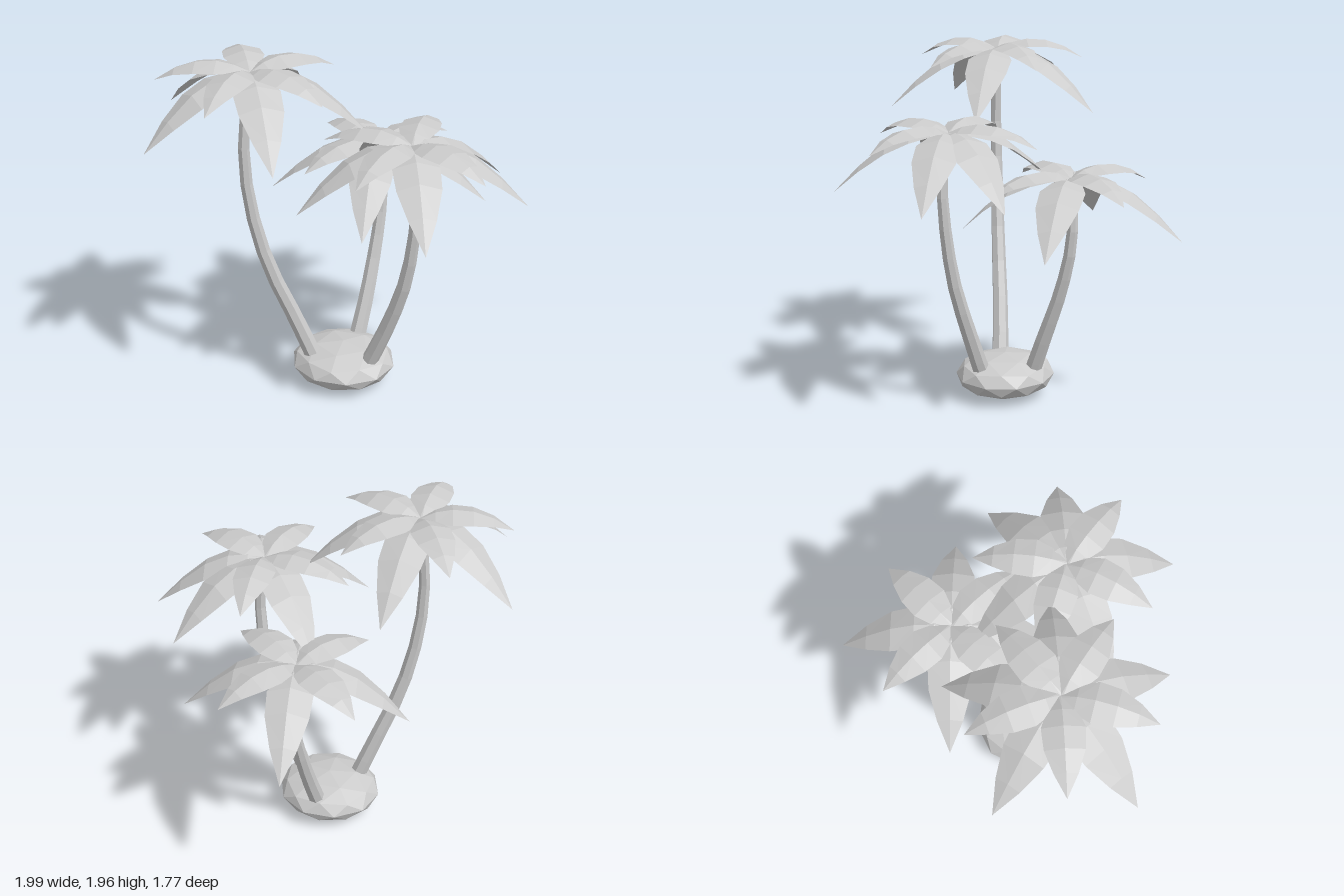
import * as THREE from 'three';

const mat = new THREE.MeshStandardMaterial({ color: 0xcccccc, flatShading: true, side: THREE.DoubleSide });

function add(parent, geometry, name) {
  const mesh = new THREE.Mesh(geometry, mat);
  mesh.name = name;
  parent.add(mesh);
  return mesh;
}

// Frond pointing along +x; each station is [reach, height, half width, edge droop]
function frondGeometry(stations) {
  const pos = [], index = [];
  stations.forEach(([r, y, w, d], i) => {
    pos.push(r, y - d, -w, r, y, 0, r, y - d, w);
    if (i === 0) return;
    for (let k = 0; k < 2; k++) {
      const a = (i - 1) * 3 + k, b = a + 3;
      index.push(a, a + 1, b, a + 1, b + 1, b);
    }
  });
  const g = new THREE.BufferGeometry();
  g.setAttribute('position', new THREE.Float32BufferAttribute(pos, 3));
  g.setIndex(index);
  g.computeVertexNormals();
  return g;
}

const longFrond = frondGeometry([
  [0, -0.01, 0.012, 0], [0.09, 0.015, 0.08, 0.025], [0.2, 0, 0.122, 0.035],
  [0.33, -0.06, 0.115, 0.035], [0.47, -0.175, 0.07, 0.02], [0.61, -0.32, 0, 0],
]);
const shortFrond = frondGeometry([
  [0, 0, 0.012, 0], [0.08, 0.037, 0.075, 0.025], [0.17, 0.056, 0.108, 0.033],
  [0.28, 0.048, 0.1, 0.03], [0.39, 0.01, 0.06, 0.017], [0.5, -0.06, 0, 0],
]);

// Tube along a smooth path, tapered toward the top
function trunkGeometry(points, sides = 7, steps = 9) {
  const curve = new THREE.CatmullRomCurve3(points.map((p) => new THREE.Vector3(...p)));
  const g = new THREE.TubeGeometry(curve, steps, 1, sides);
  const p = g.attributes.position, v = new THREE.Vector3();
  for (let i = 0; i < p.count; i++) {
    const t = Math.floor(i / (sides + 1)) / steps;
    const c = curve.getPointAt(t);
    v.fromBufferAttribute(p, i).sub(c).multiplyScalar(0.049 - 0.023 * t).add(c);
    p.setXYZ(i, v.x, v.y, v.z);
  }
  g.computeVertexNormals();
  return g;
}

// Trunk path, frond count and heading of the first frond in degrees
const palms = [
  {
    name: 'tallPalm', count: 10, start: 61, crown: [-0.44, 1.9, 0.345],
    path: [[-0.13, 0.1, 0.21], [-0.24, 0.4, 0.25], [-0.385, 0.8, 0.32], [-0.465, 1.2, 0.36], [-0.478, 1.55, 0.368], [-0.44, 1.89, 0.345]],
  },
  {
    name: 'middlePalm', count: 9, start: -11, crown: [0.4, 1.565, 0.285],
    path: [[0.125, 0.1, 0.195], [0.255, 0.4, 0.23], [0.375, 0.75, 0.275], [0.43, 1.1, 0.3], [0.435, 1.35, 0.305], [0.4, 1.555, 0.285]],
  },
  {
    name: 'shortPalm', count: 8, start: 83, crown: [0.075, 1.3, -0.285],
    path: [[0.01, 0.1, -0.02], [0.05, 0.38, -0.125], [0.075, 0.65, -0.225], [0.093, 0.9, -0.29], [0.095, 1.1, -0.305], [0.075, 1.29, -0.285]],
  },
];

export function createModel() {
  const model = new THREE.Group();
  model.name = 'palmTrees';

  // Flattened faceted rock with a corner pointing straight up
  const rock = new THREE.IcosahedronGeometry(1, 1);
  rock.rotateX(-Math.atan2((1 + Math.sqrt(5)) / 2, 1));
  rock.scale(0.294, 0.122, 0.275);
  add(model, rock, 'rock').position.set(-0.01, 0.122, 0.13);

  for (const { name, count, start, crown, path } of palms) {
    const palm = new THREE.Group();
    palm.name = name;
    add(palm, trunkGeometry(path), 'trunk');

    // Crown alternates long drooping and short raised fronds
    const leaves = new THREE.Group();
    leaves.name = 'crown';
    leaves.position.set(...crown);
    for (let i = 0; i < count; i++) {
      const isLong = i % 2 === 0;
      const frond = add(leaves, isLong ? longFrond : shortFrond, isLong ? 'longFrond' : 'shortFrond');
      frond.rotation.y = -THREE.MathUtils.degToRad(start + (i * 360) / count);
    }
    palm.add(leaves);
    model.add(palm);
  }
  return model;
}
